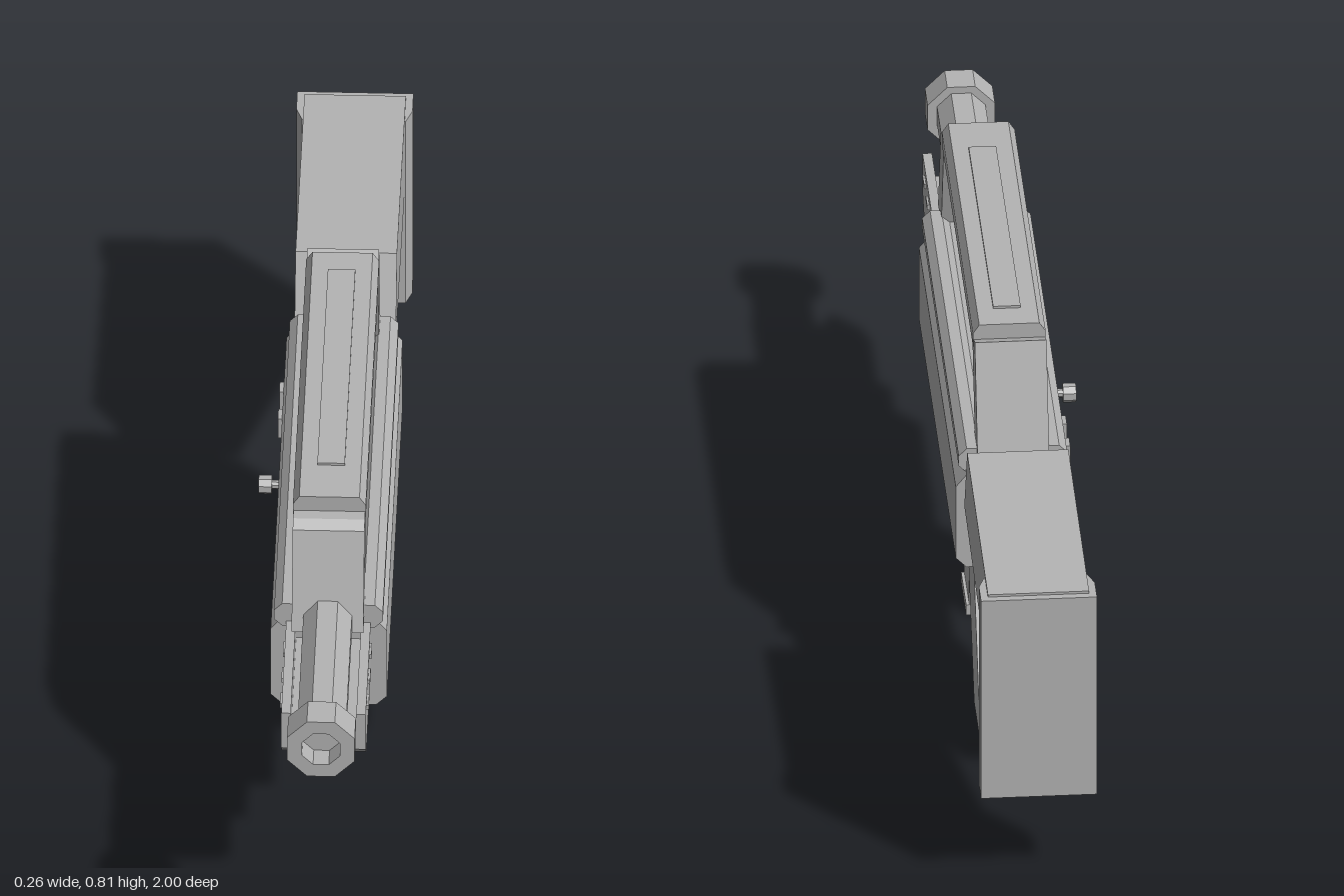
import * as THREE from 'three';

const gunGrey = new THREE.MeshStandardMaterial({ color: 0xb4b4b4 });

function toShape(points, hole) {
  const v = (list) => list.map(([a, b]) => new THREE.Vector2(a, b));
  const shape = new THREE.Shape(v(points));
  if (hole) shape.holes.push(new THREE.Path(v(hole)));
  return shape;
}

// Octagon with flat top, centred on (a, b), r measured to the flats
function octagon(a, b, r) {
  const R = r / Math.cos(Math.PI / 8);
  return Array.from({ length: 8 }, (_, i) => {
    const t = Math.PI / 8 + (i * Math.PI) / 4;
    return [a + R * Math.cos(t), b + R * Math.sin(t)];
  });
}

const rect = (a0, b0, a1, b1) => [[a0, b0], [a1, b0], [a1, b1], [a0, b1]];

export function createModel() {
  const model = new THREE.Group();
  model.name = 'rifle';
  const body = new THREE.Group();
  body.name = 'rifleBody';
  body.position.x = 0.018;
  model.add(body);

  function add(name, geometry) {
    const mesh = new THREE.Mesh(geometry, gunGrey);
    mesh.name = name;
    body.add(mesh);
  }
  // Side outline in [z, y], spanning x0 to x1
  function side(name, points, x0, x1, hole) {
    const g = new THREE.ExtrudeGeometry(toShape(points, hole), { depth: x1 - x0, bevelEnabled: false });
    g.rotateY(-Math.PI / 2).translate(x1, 0, 0);
    add(name, g);
  }
  // Front outline in [x, y], spanning z0 to z1
  function front(name, points, z0, z1, hole) {
    const g = new THREE.ExtrudeGeometry(toShape(points, hole), { depth: z1 - z0, bevelEnabled: false });
    g.translate(0, 0, z0);
    add(name, g);
  }

  // Receiver with chamfered edges and a slotted plate on its right side
  front('receiver', [
    [-0.09, 0.34], [0.09, 0.34], [0.11, 0.36], [0.11, 0.515], [0.09, 0.54],
    [-0.09, 0.54], [-0.11, 0.515], [-0.09, 0.515], [-0.09, 0.36], [-0.11, 0.36],
  ], -0.37, 0.545);
  side('slottedSidePlate', rect(-0.37, 0.36, 0.545, 0.515), -0.11, -0.09,
    rect(-0.05, 0.45, 0.27, 0.507));
  front('receiverLid', rect(-0.072, 0.53, 0.072, 0.572), -0.365, 0.545);
  for (const s of [-1, 1]) front('topRail', octagon(s * 0.077, 0.56, 0.026), -0.35, 0.56);

  // Charging knob and two small tabs
  side('knobStem', octagon(0.04, 0.476, 0.008), -0.126, -0.085);
  side('chargingKnob', octagon(0.04, 0.476, 0.017), -0.149, -0.124);
  for (const z of [-0.215, -0.13]) side('sideTab', rect(z - 0.016, 0.47, z + 0.016, 0.515), -0.118, -0.105);

  // Barrel and hollow muzzle
  front('barrel', octagon(0, 0.578, 0.046), 0.54, 0.955);
  front('muzzle', octagon(0, 0.574, 0.064), 0.935, 1, octagon(0, 0.574, 0.036));

  // Handguard: floor, raised side walls and lower step
  const guard = [[0.54, 0.435], [0.82, 0.435], [0.85, 0.463], [0.85, 0.495], [0.54, 0.495]];
  side('handguardFloor', guard, -0.08, 0.08);
  for (const s of [-1, 1]) {
    side('handguardWall', rect(0.54, 0.49, 0.85, 0.545), s * 0.071 - 0.009, s * 0.071 + 0.009);
    for (const z of [0.62, 0.7, 0.78])
      side('handguardRib', rect(z - 0.018, 0.518, z + 0.018, 0.528), s * 0.081 - 0.003, s * 0.081 + 0.003);
  }
  side('handguardStep', rect(0.54, 0.38, 0.67, 0.44), -0.074, 0.074);

  // Carrying handle on two slanted posts
  side('frontHandlePost', [[0.62, 0.565], [0.555, 0.757], [0.535, 0.77], [0.48, 0.77], [0.54, 0.565]], -0.068, 0.068);
  side('rearHandlePost', [[-0.3, 0.56], [-0.365, 0.56], [-0.295, 0.785], [-0.255, 0.77], [-0.235, 0.76]], -0.068, 0.068);
  front('carryingHandle', [
    [-0.069, 0.757], [0.069, 0.757], [0.069, 0.785], [0.057, 0.803], [-0.057, 0.803], [-0.069, 0.785],
  ], -0.26, 0.51);
  front('handleTopStrip', rect(-0.026, 0.8, 0.026, 0.808), -0.2, 0.41);

  // Magazine with rounded front corner and base plate
  side('magazine', [
    [0.045, 0.35], [0.045, 0.02], [0.165, 0.02], [0.192, 0.035], [0.21, 0.065],
    [0.22, 0.1], [0.224, 0.13], [0.224, 0.35],
  ], -0.053, 0.053);
  side('magazineBase', rect(0.04, 0, 0.165, 0.022), -0.059, 0.059);

  // Grip, trigger guard and trigger
  side('grip', [[-0.2, 0.345], [-0.375, 0.345], [-0.535, 0.05], [-0.38, 0.05]], -0.076, 0.076);
  side('triggerGuard', [
    [0.035, 0.345], [0.035, 0.25], [-0.26, 0.25], [-0.23, 0.345],
    [-0.19, 0.345], [-0.21, 0.272], [0.003, 0.272], [0.003, 0.345],
  ], -0.03, 0.03);
  side('trigger', [[-0.13, 0.345], [-0.158, 0.345], [-0.172, 0.297], [-0.15, 0.292]], -0.014, 0.014);

  // Stock, brace and butt plate with narrowed front edge
  side('stock', [[-0.4, 0.49], [-0.47, 0.645], [-0.985, 0.63], [-0.985, 0.455], [-0.92, 0.458]], -0.096, 0.096);
  side('stockBrace', [[-0.47, 0.48], [-0.47, 0.417], [-0.93, 0.225], [-0.93, 0.295]], -0.055, 0.055);
  const butt = new THREE.ExtrudeGeometry(toShape([
    [-0.11, 1], [0.11, 1], [0.11, 0.945], [0.098, 0.912], [-0.098, 0.912], [-0.11, 0.945],
  ]), { depth: 0.43, bevelEnabled: false });
  butt.rotateX(-Math.PI / 2).translate(0, 0.195, 0);
  add('buttPlate', butt);

  return model;
}
